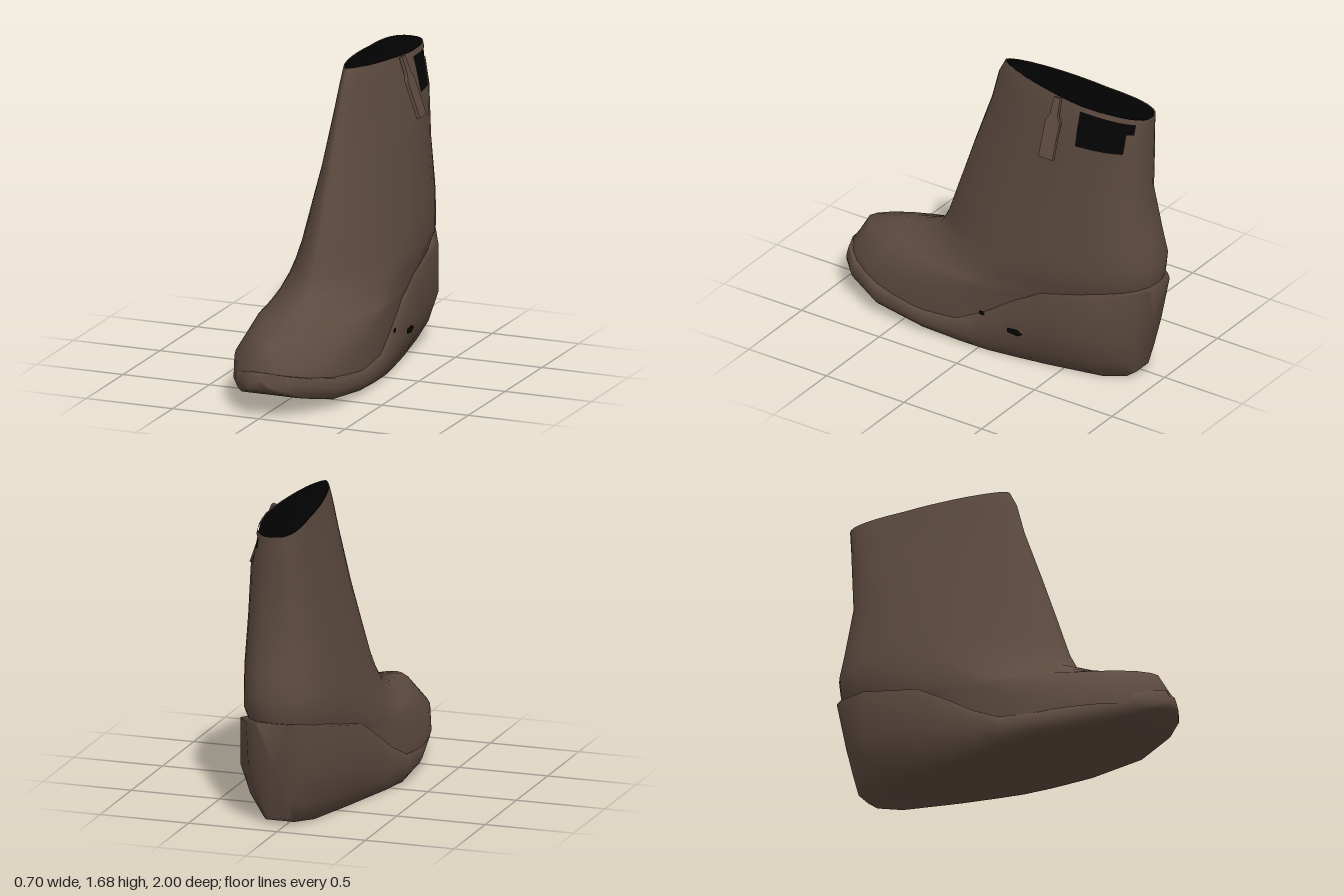
import * as THREE from 'three';

const N = 32;

// Skin a list of equal-length closed rings; skip(row, i) leaves an opening.
function loft(rings, { flip = false, skip = () => false } = {}) {
  const n = rings[0].length, idx = [];
  for (let j = 0; j < rings.length - 1; j++) {
    for (let i = 0; i < n; i++) {
      if (skip(j, i)) continue;
      const k = (i + 1) % n;
      const a = j * n + i, b = j * n + k, c = a + n, d = b + n;
      if (flip) idx.push(a, d, b, a, c, d);
      else idx.push(a, b, d, a, d, c);
    }
  }
  const g = new THREE.BufferGeometry();
  g.setAttribute('position', new THREE.Float32BufferAttribute(rings.flat(2), 3));
  g.setIndex(idx);
  g.computeVertexNormals();
  return g;
}

// Horizontal section: a superellipse with separate back and front halves; the collar slopes down to the back.
function section([y, zb, zm, zf, cb, cf, xl, xr, eb, ef], inset = 0) {
  const pts = [];
  for (let i = 0; i < N; i++) {
    const t = (i / N) * Math.PI * 2, c = Math.cos(t), s = Math.sin(t);
    const back = c > 0, e = 2 / (back ? eb : ef);
    const f = Math.pow(Math.abs(c), e);
    const end = back ? zb + inset : zf - inset;
    const z = zm + (end - zm) * f;
    const mid = (xl + xr) / 2, half = (xr - xl) / 2 - inset;
    const x = mid + ((back ? cb : cf) - mid) * f + half * Math.sign(s) * Math.pow(Math.abs(s), e);
    pts.push([x, y > 1.5 ? y + (z + 0.45) * 0.07 : y, z]);
  }
  return pts;
}

// y, back z, widest z, front z, back centre x, front centre x, min x, max x, back and front roundness
const UPPER = [
  [1.65, -0.955, -0.6, -0.025, 0.05, 0.07, -0.045, 0.205, 2.6, 1.65],
  [1.62, -0.953, -0.6, -0.01, 0.05, 0.07, -0.052, 0.215, 2.6, 1.65],
  [1.56, -0.947, -0.6, 0.02, 0.05, 0.07, -0.062, 0.23, 2.6, 1.65],
  [1.42, -0.938, -0.6, 0.07, 0.05, 0.06, -0.088, 0.258, 2.6, 1.65],
  [1.12, -0.92, -0.5, 0.18, 0.05, 0.055, -0.15, 0.285, 2.6, 1.65],
  [0.85, -0.97, -0.42, 0.277, 0.04, 0.045, -0.205, 0.31, 2.5, 1.7],
  [0.72, -0.998, -0.37, 0.322, 0.03, 0.04, -0.232, 0.322, 2.4, 1.7],
  [0.62, -0.985, -0.32, 0.36, 0.03, 0.03, -0.253, 0.328, 2.4, 1.7],
  [0.53, -0.96, -0.2, 0.41, 0.03, 0.02, -0.27, 0.318, 2.2, 1.7],
  [0.46, -0.93, -0.1, 0.58, 0.03, 0.01, -0.285, 0.312, 2, 1.6],
  [0.41, -0.9, 0, 0.74, 0.03, 0, -0.298, 0.32, 1.8, 1.6],
  [0.38, -0.87, 0.1, 0.9, 0.03, 0, -0.31, 0.325, 1.7, 1.6],
  [0.26, -0.85, 0.2, 0.97, 0.03, 0, -0.335, 0.33, 1.6, 2.2],
  [0.14, -0.85, 0.25, 0.96, 0.03, 0, -0.34, 0.33, 1.6, 2.2],
];

// top z, bottom z, min x, max x, edge y, bottom y, bottom width factor
const SOLE = [
  [-0.995, -0.88, -0.06, 0.13, 0.595, 0.04, 0.6],
  [-0.94, -0.84, -0.12, 0.2, 0.585, 0.015, 0.5],
  [-0.75, -0.72, -0.23, 0.3, 0.55, 0.005, 0.55],
  [-0.4, -0.4, -0.28, 0.33, 0.47, 0, 0.7],
  [-0.2, -0.2, -0.3, 0.333, 0.35, 0, 0.8],
  [-0.05, -0.05, -0.32, 0.335, 0.25, 0, 0.86],
  [0.12, 0.12, -0.355, 0.34, 0.16, 0.005, 0.88],
  [0.35, 0.35, -0.345, 0.35, 0.14, 0.02, 0.88],
  [0.65, 0.66, -0.28, 0.325, 0.17, 0.05, 0.85],
  [0.85, 0.87, -0.2, 0.24, 0.21, 0.1, 0.8],
  [0.94, 0.96, -0.12, 0.15, 0.235, 0.135, 0.8],
  [0.975, 1.0, -0.06, 0.05, 0.25, 0.165, 0.9],
];

function soleSection([zt, zb, xl, xr, edge, bot, w]) {
  const c = (xl + xr) / 2, h = (xr - xl) / 2;
  const half = [[0.85, 1], [0.98, 0.98], [1, 0.5], [0.55 + w * 0.45, 0.2], [w, 0]];
  const at = (s, [f, v]) => [c + s * f * h, bot + (edge - bot) * v, zb + (zt - zb) * v];
  return [...half.map((p) => at(-1, p)), ...half.map((p) => at(1, p)).reverse()];
}

// A ring collapsed to its centre, used to close an end.
function collapse(ring) {
  const m = [0, 1, 2].map((k) => ring.reduce((s, p) => s + p[k], 0) / ring.length);
  return ring.map(() => m);
}

export function createModel() {
  const group = new THREE.Group();
  const leather = new THREE.MeshStandardMaterial({ color: 0x5c4a3f, side: THREE.DoubleSide });
  leather.name = 'brown leather';
  const dark = new THREE.MeshStandardMaterial({ color: 0x040404, side: THREE.DoubleSide });
  dark.name = 'dark lining';
  const add = (name, geo, mat) => {
    const m = new THREE.Mesh(geo, mat);
    m.name = name;
    group.add(m);
    return m;
  };

  // Shaft and vamp, with a window below the collar rim on the left side
  const opening = (j, i) => i <= 7 && ((j === 1 && i >= 3) || (j === 2 && i >= 4));
  add('upper', loft(UPPER.map((r) => section(r)), { skip: opening }), leather);

  // Lining of the shaft with a closed floor
  const inner = UPPER.slice(0, 8).map((r) => section(r, 0.008));
  inner.push(collapse(inner[7]));
  add('lining', loft(inner, { flip: true }), dark);

  // Wedge sole
  const rows = SOLE.map(soleSection);
  add('wedgeSole', loft([collapse(rows[0]), ...rows, collapse(rows[rows.length - 1])]), leather);

  // Pull tab: a slotted strap hanging off the collar
  const strap = new THREE.Shape([[-0.02, 0], [0.02, 0], [0.025, -0.1], [0.045, -0.13],
    [0.045, -0.34], [-0.045, -0.34], [-0.045, -0.13], [-0.025, -0.1]].map((p) => new THREE.Vector2(...p)));
  const tabGeo = new THREE.ExtrudeGeometry(strap, { depth: 0.02, bevelEnabled: false });
  tabGeo.rotateY(Math.PI / 2).rotateZ(0.34);
  const tab = add('pullTab', tabGeo, leather);
  tab.position.set(0.2, 1.645, -0.455);

  // Small gaps at the arch
  [[0.2, -0.26, 0.055, 0.022], [0.25, -0.05, 0.022, 0.015]].forEach(([y, z, w, h]) => {
    const gap = add('archGap', new THREE.CircleGeometry(1, 5), dark);
    gap.scale.set(w, h, 1);
    gap.rotation.y = Math.PI / 2;
    gap.position.set(0.339, y, z);
  });

  return group;
}
